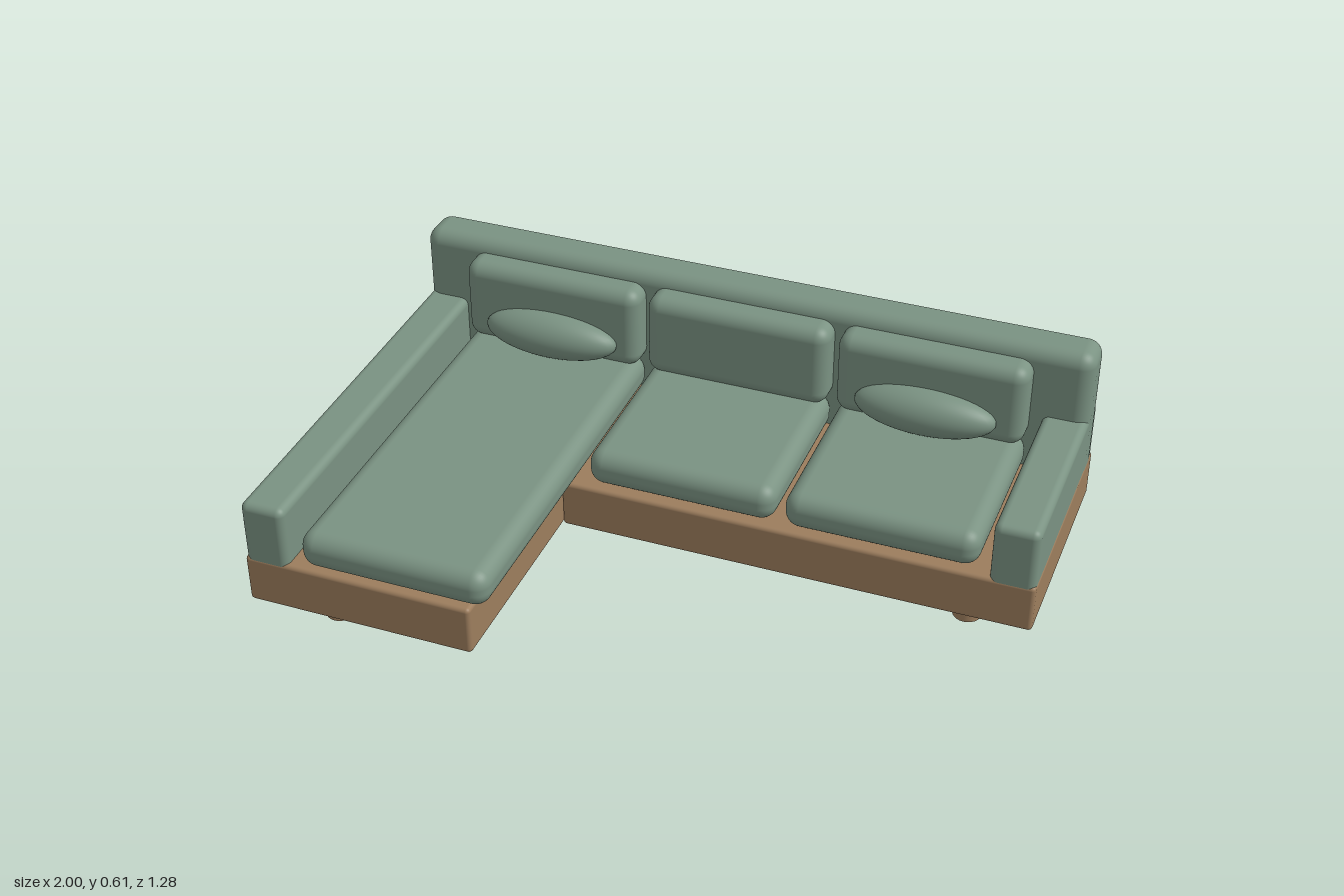
import * as THREE from 'three';
import { RoundedBoxGeometry } from 'three/addons/geometries/RoundedBoxGeometry.js';

export function createModel() {
  const sofa = new THREE.Group();
  sofa.name = 'cornerSofa';
  const fabric = new THREE.MeshStandardMaterial({ color: 0x7a9282 });
  fabric.name = 'sage fabric';
  const wood = new THREE.MeshStandardMaterial({ color: 0x9c7d5d });
  wood.name = 'brown wood';

  const add = (name, geometry, material, x, y, z) => {
    const mesh = new THREE.Mesh(geometry, material);
    mesh.name = name;
    mesh.position.set(x, y, z);
    sofa.add(mesh);
    return mesh;
  };

  // Rounded block given by its extents along each axis
  const block = (name, material, [x0, x1], [y0, y1], [z0, z1], radius) =>
    add(name, new RoundedBoxGeometry(x1 - x0, y1 - y0, z1 - z0, 5, radius), material,
      (x0 + x1) / 2, (y0 + y1) / 2, (z0 + z1) / 2);

  // Wooden plinths: sofa section and chaise section
  block('sofaBase', wood, [-0.345, 1], [0.083, 0.228], [-0.64, 0.035], 0.012);
  block('chaiseBase', wood, [-1, -0.345], [0.083, 0.228], [-0.64, 0.64], 0.012);

  // Legs
  for (const [x, z] of [[-0.8, 0.515], [-0.8, -0.51], [0.8, -0.085], [0.8, -0.51]]) {
    add('leg', new THREE.CylinderGeometry(0.04, 0.04, 0.1, 24), wood, x, 0.05, z);
  }

  // Backrest and arms
  block('backrest', fabric, [-0.999, 0.999], [0.18, 0.61], [-0.639, -0.503], 0.042);
  block('leftArm', fabric, [0.872, 0.998], [0.19, 0.402], [-0.637, 0.034], 0.022);
  block('rightArm', fabric, [-0.998, -0.872], [0.19, 0.402], [-0.637, 0.639], 0.022);

  // Seat and back cushions, the first seat being the long chaise
  const bays = [[-0.84, -0.3, 0.635], [-0.275, 0.268, 0.022], [0.294, 0.836, 0.022]];
  for (const [x0, x1, front] of bays) {
    block('seatCushion', fabric, [x0, x1], [0.227, 0.334], [-0.52, front], 0.045);
    block('backCushion', fabric, [x0, x1], [0.325, 0.573], [-0.56, -0.427], 0.04);
  }

  // Oval throw pillows
  for (const x of [-0.565, 0.56]) {
    add('throwPillow', new THREE.SphereGeometry(1, 36, 24), fabric, x, 0.397, -0.42)
      .scale.set(0.203, 0.069, 0.072);
  }
  return sofa;
}
